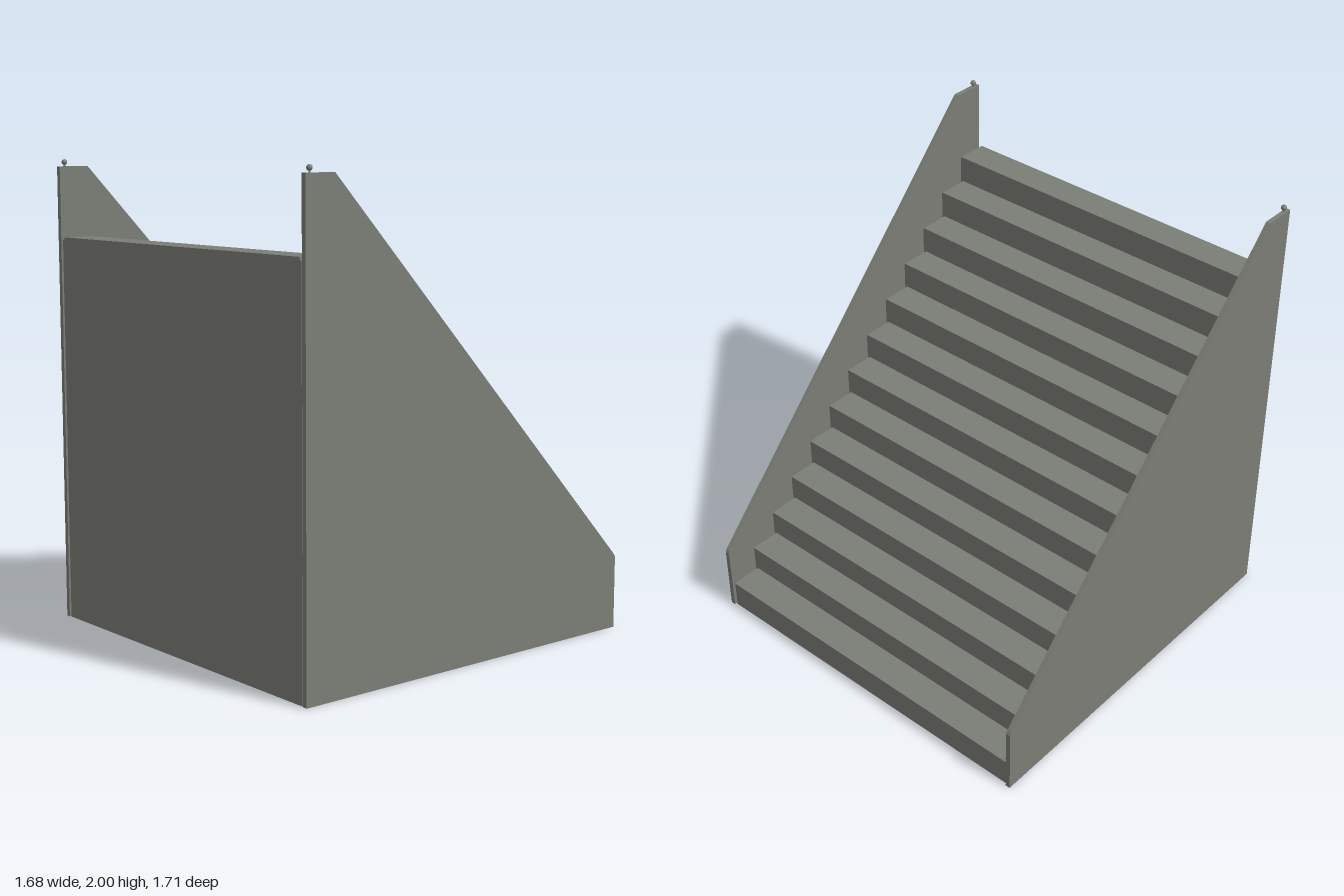
import * as THREE from 'three';

export function createModel() {
  const model = new THREE.Group();
  const concrete = new THREE.MeshStandardMaterial({ color: 0x7b7d76 });
  concrete.name = 'concrete grey';

  const add = (name, geometry, x = 0, y = 0, z = 0) => {
    const mesh = new THREE.Mesh(geometry, concrete);
    mesh.name = name;
    mesh.position.set(x, y, z);
    model.add(mesh);
    return mesh;
  };

  // Extrudes a side profile of [z, y] points across x, centred on x = 0
  const sideExtrude = (points, width) => {
    const shape = new THREE.Shape(points.map(([z, y]) => new THREE.Vector2(-z, y)));
    const geometry = new THREE.ExtrudeGeometry(shape, { depth: width, bevelEnabled: false });
    geometry.translate(0, 0, -width / 2);
    return geometry.rotateY(Math.PI / 2);
  };

  const steps = 13;
  const back = -0.845, front = 0.85;
  const run = (front - back) / steps;
  const bodyTop = 1.658, rise = bodyTop / steps;
  const treadThickness = 0.012, nosing = 0.009;

  // Solid stepped body, climbing from the back to the front
  const profile = [[front, 0], [back, 0]];
  for (let i = 0; i < steps; i++) {
    profile.push([back + i * run, (i + 1) * rise], [back + (i + 1) * run, (i + 1) * rise]);
  }
  add('stairBody', sideExtrude(profile, 1.62));

  // Thin treads with a small overhanging nosing
  const tread = new THREE.BoxGeometry(1.596, treadThickness, run + nosing);
  for (let i = 0; i < steps; i++) {
    add('tread', tread, 0, (i + 1) * rise + treadThickness / 2, back + (i + 0.5) * run - nosing / 2);
  }

  // Sloping side walls, each with a small ball on a peg at the top
  const wall = sideExtrude(
    [[0.854, 0], [0.854, 1.97], [0.715, 1.97], [-0.845, 0.325], [-0.854, 0.31], [-0.854, 0]], 0.021);
  const ball = new THREE.SphereGeometry(0.012, 16, 12);
  const peg = new THREE.CylinderGeometry(0.004, 0.004, 0.02, 8);
  for (const side of [-1, 1]) {
    add('sideWall', wall, side * 0.828);
    add('wallPeg', peg, side * 0.826, 1.975, 0.825);
    add('wallBall', ball, side * 0.826, 1.988, 0.825);
  }

  return model;
}
